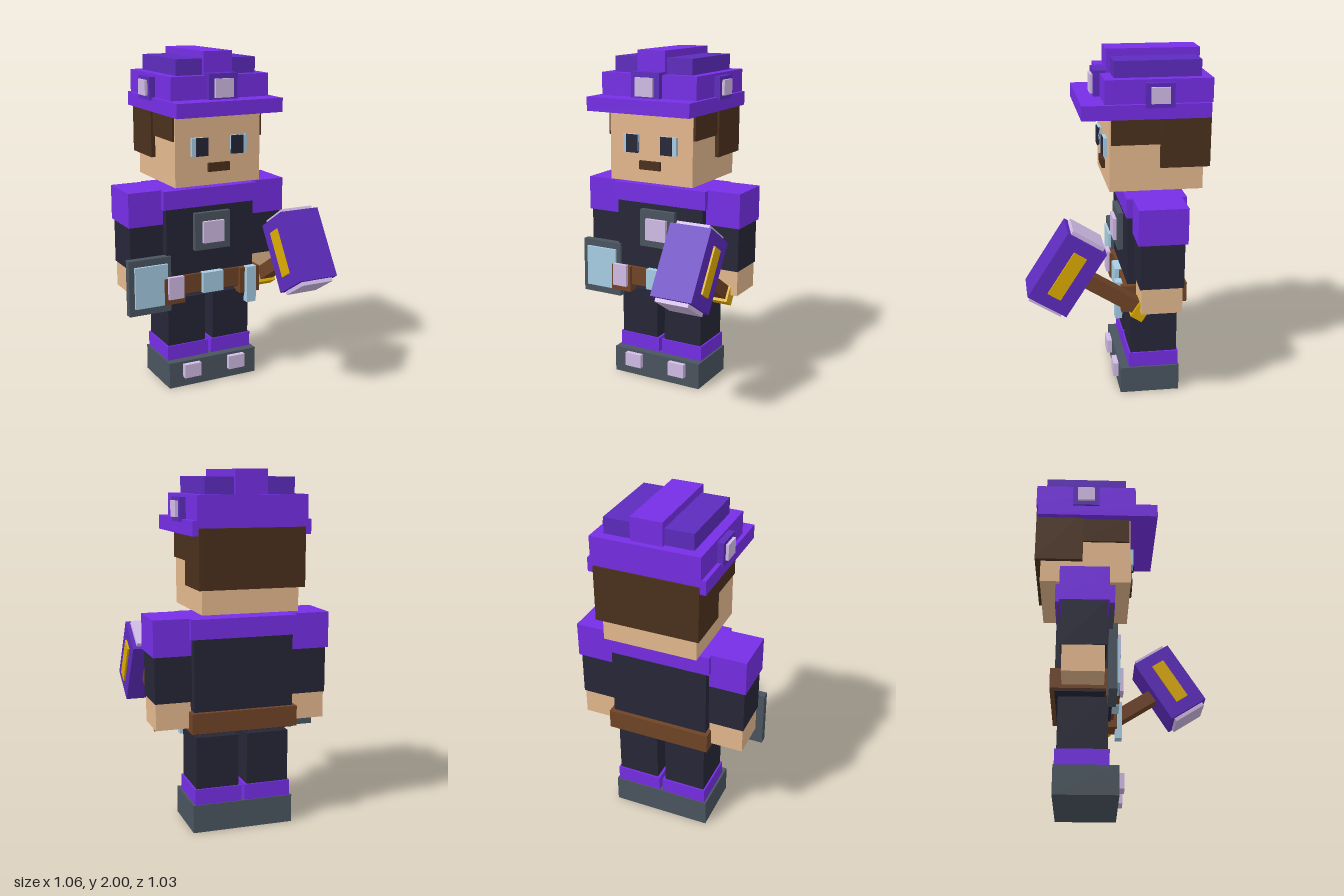
import * as THREE from 'three';

const mat = (name, color) => {
  const m = new THREE.MeshStandardMaterial({ color });
  m.name = name;
  return m;
};

export function createModel() {
  const purple = mat('purple', 0x752ee5);
  const deepPurple = mat('deepPurple', 0x5d2bbd);
  const navy = mat('navy', 0x262638);
  const slate = mat('slate', 0x4a545f);
  const skin = mat('skin', 0xe4b88e);
  const hairBrown = mat('hairBrown', 0x4a301c);
  const leather = mat('leather', 0x704427);
  const lilac = mat('lilac', 0xd2bce8);
  const paleBlue = mat('paleBlue', 0xa7cee5);
  const gold = mat('gold', 0xdcab00);

  const model = new THREE.Group();
  const group = (name) => {
    const g = new THREE.Group();
    g.name = name;
    model.add(g);
    return g;
  };
  // Box given by its limits on each axis
  const box = (parent, name, material, [x0, x1], [y0, y1], [z0, z1]) => {
    const mesh = new THREE.Mesh(new THREE.BoxGeometry(x1 - x0, y1 - y0, z1 - z0), material);
    mesh.position.set((x0 + x1) / 2, (y0 + y1) / 2, (z0 + z1) / 2);
    mesh.name = name;
    parent.add(mesh);
  };
  // The same box on both sides of the body
  const pair = (parent, name, material, [x0, x1], y, z) => {
    box(parent, name + 'Left', material, [x0, x1], y, z);
    box(parent, name + 'Right', material, [-x1, -x0], y, z);
  };

  // Legs and boots
  const legs = group('legs');
  box(legs, 'boots', slate, [-0.292, 0.292], [0, 0.16], [-0.373, -0.026]);
  pair(legs, 'toePlate', lilac, [0.095, 0.203], [0.06, 0.145], [-0.03, 0.004]);
  pair(legs, 'bootCuff', purple, [0.01, 0.28], [0.16, 0.25], [-0.367, -0.077]);
  pair(legs, 'leg', navy, [0.025, 0.27], [0.25, 0.545], [-0.357, -0.086]);

  // Torso with chest emblem
  const torso = group('torso');
  box(torso, 'chest', navy, [-0.285, 0.285], [0.57, 1.1], [-0.377, -0.062]);
  box(torso, 'yoke', purple, [-0.305, 0.305], [1.1, 1.21], [-0.39, -0.052]);
  box(torso, 'emblemBase', slate, [-0.115, 0.115], [0.84, 1.065], [-0.07, -0.03]);
  box(torso, 'emblemGem', lilac, [-0.068, 0.068], [0.885, 1.015], [-0.035, -0.01]);

  // Belt with pouches
  const belt = group('belt');
  box(belt, 'beltBand', leather, [-0.305, 0.305], [0.58, 0.695], [-0.403, -0.045]);
  box(belt, 'buckle', paleBlue, [-0.068, 0.068], [0.575, 0.7], [-0.06, -0.02]);
  pair(belt, 'pouch', leather, [0.183, 0.315], [0.535, 0.695], [-0.1, -0.025]);
  box(belt, 'pouchPlate', lilac, [-0.295, -0.2], [0.57, 0.705], [-0.03, -0.005]);
  box(belt, 'hangingTool', paleBlue, [0.215, 0.277], [0.48, 0.705], [-0.035, 0.005]);

  // Arms
  const arms = group('arms');
  pair(arms, 'shoulder', purple, [0.295, 0.507], [1.01, 1.213], [-0.36, -0.087]);
  pair(arms, 'sleeve', navy, [0.29, 0.497], [0.75, 1.01], [-0.345, -0.1]);
  pair(arms, 'hand', skin, [0.295, 0.492], [0.6, 0.75], [-0.338, -0.11]);

  // Shield on the right hand
  const shield = group('shield');
  box(shield, 'shieldPlate', slate, [-0.53, -0.265], [0.49, 0.825], [-0.09, -0.045]);
  box(shield, 'shieldPanel', paleBlue, [-0.497, -0.292], [0.535, 0.785], [-0.05, -0.03]);

  // Head, face and hair
  const head = group('head');
  box(head, 'face', skin, [-0.27, 0.27], [1.247, 1.68], [-0.482, 0.038]);
  pair(head, 'eyeWhite', paleBlue, [0.075, 0.175], [1.42, 1.525], [0.035, 0.058]);
  pair(head, 'pupil', navy, [0.075, 0.15], [1.42, 1.525], [0.05, 0.064]);
  box(head, 'mouth', hairBrown, [-0.068, 0.068], [1.325, 1.375], [0.035, 0.056]);
  pair(head, 'sideHair', hairBrown, [0.265, 0.283], [1.51, 1.68], [-0.25, 0.03]);
  pair(head, 'backSideHair', hairBrown, [0.265, 0.295], [1.38, 1.7], [-0.515, -0.24]);
  box(head, 'backHair', hairBrown, [-0.266, 0.266], [1.38, 1.7], [-0.515, -0.47]);

  // Helmet with ridge and lamps
  const helmet = group('helmet');
  box(helmet, 'brim', purple, [-0.328, 0.328], [1.66, 1.74], [-0.507, 0.195]);
  box(helmet, 'crown', purple, [-0.305, 0.305], [1.74, 1.87], [-0.518, 0.068]);
  box(helmet, 'upperCrown', deepPurple, [-0.248, 0.248], [1.87, 1.96], [-0.463, 0.012]);
  box(helmet, 'ridge', purple, [-0.089, 0.089], [1.86, 2.0], [-0.485, 0.034]);
  box(helmet, 'frontLampBase', deepPurple, [-0.089, 0.089], [1.738, 1.883], [0.0, 0.103]);
  box(helmet, 'frontLamp', lilac, [-0.056, 0.056], [1.75, 1.855], [0.09, 0.119]);
  pair(helmet, 'sideLampBase', deepPurple, [0.29, 0.34], [1.723, 1.855], [-0.303, -0.147]);
  pair(helmet, 'sideLamp', lilac, [0.33, 0.356], [1.748, 1.835], [-0.275, -0.175]);

  // Hammer in the left hand, handle along its own z axis
  const hammer = group('hammer');
  hammer.position.set(0.394, 0.865, 0.299);
  hammer.rotation.x = -0.564;
  box(hammer, 'hammerHead', deepPurple, [-0.124, 0.124], [-0.208, 0.208], [-0.122, 0.122]);
  for (const s of [-1, 1]) {
    box(hammer, s > 0 ? 'topCap' : 'bottomCap', lilac, [-0.1, 0.1],
      s > 0 ? [0.2, 0.23] : [-0.23, -0.2], [-0.1, 0.1]);
  }
  box(hammer, 'inlay', gold, [-0.135, 0.135], [-0.135, 0.135], [-0.04, 0.04]);
  box(hammer, 'handle', leather, [-0.044, 0.044], [-0.04, 0.04], [-0.48, -0.1]);
  box(hammer, 'pommel', gold, [-0.057, 0.057], [-0.057, 0.057], [-0.53, -0.456]);

  return model;
}
